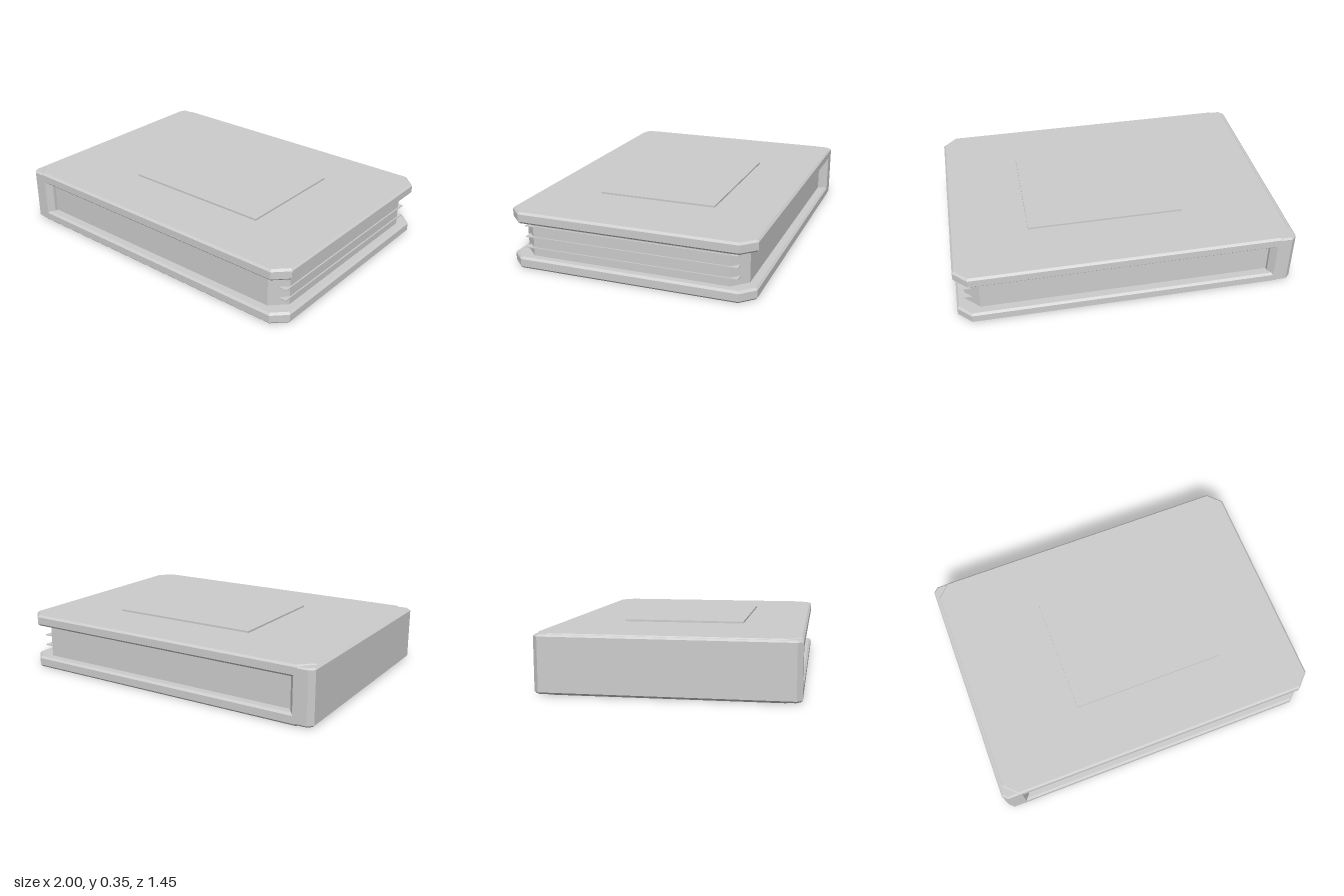
import * as THREE from 'three';

const grey = new THREE.MeshStandardMaterial({ color: 0xcccccc });
grey.name = 'plain grey';

// Slab with clipped corners (cl on the spine side, cr on the open side) and bevelled rims
function slab(name, x0, x1, y0, y1, hz, cl, cr, bevel = 0) {
  const [clx, clz] = cl, [crx, crz] = cr;
  const shape = new THREE.Shape([
    [x0 + clx, -hz], [x1 - crx, -hz], [x1, -hz + crz], [x1, hz - crz],
    [x1 - crx, hz], [x0 + clx, hz], [x0, hz - clz], [x0, -hz + clz],
  ].map(([x, z]) => new THREE.Vector2(x, z)));
  const geometry = new THREE.ExtrudeGeometry(shape, {
    depth: y1 - y0 - 2 * bevel,
    bevelEnabled: bevel > 0,
    bevelThickness: bevel,
    bevelSize: bevel,
    bevelOffset: -bevel,
    bevelSegments: 1,
  });
  geometry.rotateX(-Math.PI / 2).translate(0, y0 + bevel, 0);
  const mesh = new THREE.Mesh(geometry, grey);
  mesh.name = name;
  return mesh;
}

function box(name, x0, x1, y0, y1, z0, z1) {
  const mesh = new THREE.Mesh(new THREE.BoxGeometry(x1 - x0, y1 - y0, z1 - z0), grey);
  mesh.position.set((x0 + x1) / 2, (y0 + y1) / 2, (z0 + z1) / 2);
  mesh.name = name;
  return mesh;
}

export function createModel() {
  const book = new THREE.Group();
  book.name = 'book';

  // Two covers and the spine joining them
  const corner = [0.08, 0.08];
  book.add(slab('bottomCover', -0.985, 1, 0, 0.068, 0.727, corner, corner, 0.012));
  book.add(slab('topCover', -0.985, 1, 0.27, 0.338, 0.727, corner, corner, 0.012));
  book.add(slab('spine', -1, -0.855, 0.006, 0.332, 0.727, [0.03, 0.03], [0.03, 0.037], 0.01));

  // Page block, clipped at the open corners
  book.add(slab('pageBlock', -0.87, 0.95, 0.06, 0.28, 0.67, [0.001, 0.001], [0.085, 0.085]));

  // Loose sheets standing slightly proud of the page edge
  for (const y of [0.115, 0.18, 0.245]) {
    book.add(box('looseSheet', 0.5, 0.958, y - 0.003, y + 0.003, -0.63, 0.63));
  }

  // Raised plate on the top cover
  book.add(box('coverPlate', -0.4, 0.54, 0.33, 0.349, -0.357, 0.357));
  return book;
}
